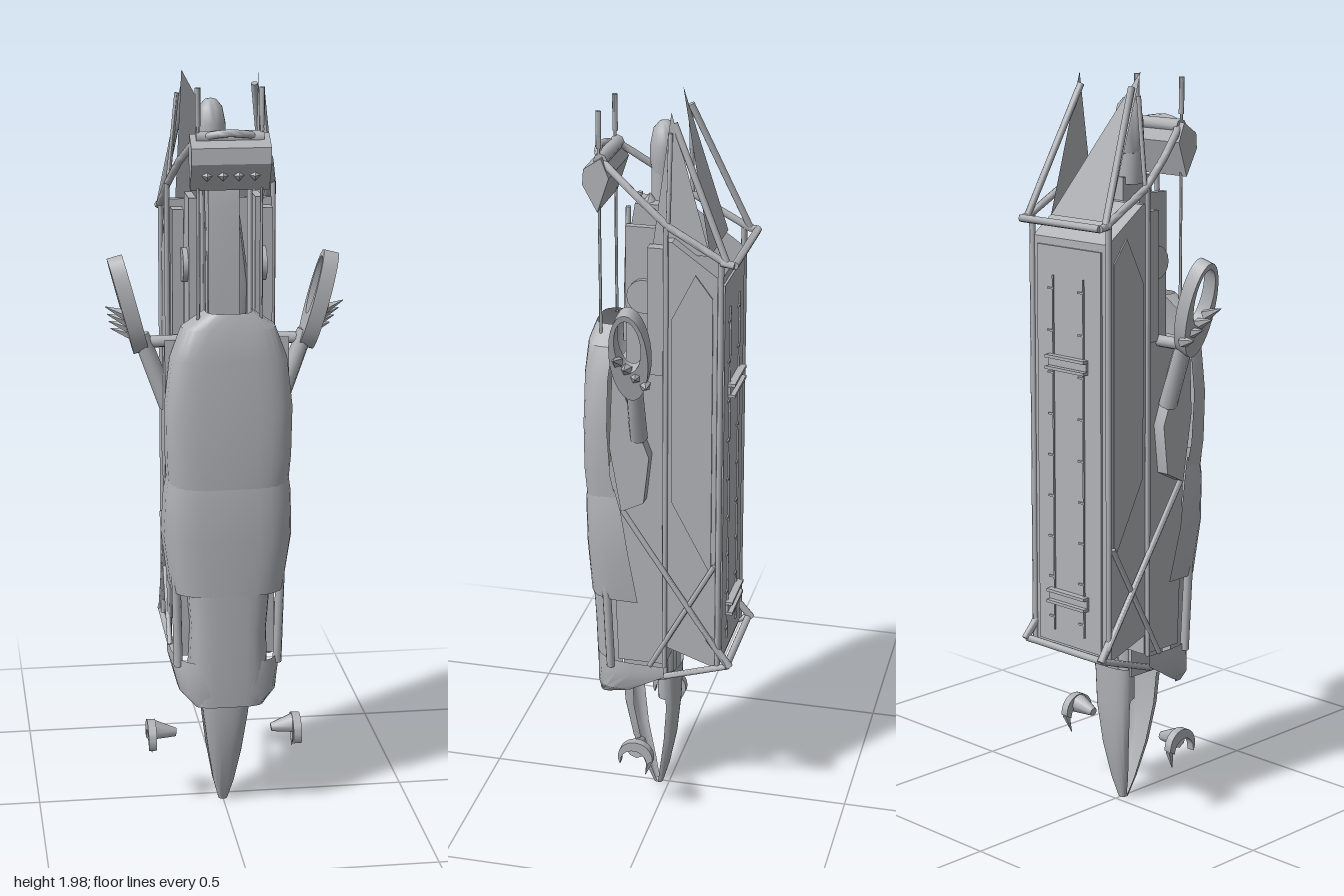
import * as THREE from 'three';
import { toCreasedNormals } from 'three/addons/utils/BufferGeometryUtils.js';

const V = (x, y, z) => new THREE.Vector3(x, y, z);

export function createModel() {
  const model = new THREE.Group();
  const grey = new THREE.MeshStandardMaterial({ color: 0xb0b2b6, side: THREE.DoubleSide });
  grey.name = 'hull grey';

  function add(name, geo, parent = model, crease = 0.5) {
    const mesh = new THREE.Mesh(toCreasedNormals(geo, crease), grey);
    mesh.name = name;
    parent.add(mesh);
    return mesh;
  }
  const box = (name, w, h, d, x, y, z, parent) =>
    add(name, new THREE.BoxGeometry(w, h, d).translate(x, y, z), parent);
  // Straight round bar between two points
  function bar(name, a, b, r, parent, sides = 8, r2 = r) {
    const d = b.clone().sub(a);
    const geo = new THREE.CylinderGeometry(r2, r, d.length(), sides);
    geo.applyQuaternion(new THREE.Quaternion().setFromUnitVectors(V(0, 1, 0), d.clone().normalize()));
    const m = a.clone().add(b).multiplyScalar(0.5);
    return add(name, geo.translate(m.x, m.y, m.z), parent, 0.9);
  }
  // Side profile of [z, y] points, extruded across x
  function prism(name, pts, width, x = 0, parent = model) {
    const shape = new THREE.Shape(pts.map(p => new THREE.Vector2(p[0], p[1])));
    const geo = new THREE.ExtrudeGeometry(shape, { depth: width, bevelEnabled: false });
    return add(name, geo.translate(0, 0, -width / 2).rotateY(-Math.PI / 2).translate(x, 0, 0), parent);
  }
  // Open curved shell from rows of [y, half width, crown z, edge z]
  function shell(name, rows, power = 0.55, n = 14) {
    const pos = [], idx = [];
    rows.forEach(([y, w, crown, edge], r) => {
      for (let i = 0; i <= n; i++) {
        const a = Math.PI * i / n, c = Math.cos(a), s = Math.max(0, Math.sin(a));
        pos.push(Math.sign(c) * Math.abs(c) ** power * w, y, edge + (crown - edge) * s ** power);
        if (r && i) {
          const k = r * (n + 1) + i, q = k - n - 1;
          idx.push(k, k - 1, q - 1, k, q - 1, q);
        }
      }
    });
    const geo = new THREE.BufferGeometry();
    geo.setAttribute('position', new THREE.Float32BufferAttribute(pos, 3));
    geo.setIndex(idx);
    return add(name, geo, model, 0.6);
  }
  function triangle(name, a, b, c) {
    return add(name, new THREE.BufferGeometry().setFromPoints([a, b, c]));
  }

  // Front fairing in two overlapping sections
  shell('upperFairing', [[1.4, 0.06, 0.185, 0.12], [1.36, 0.12, 0.198, 0.12], [1.28, 0.15, 0.204, 0.125],
    [1.15, 0.165, 0.207, 0.125], [1.02, 0.163, 0.208, 0.118], [0.93, 0.157, 0.203, 0.1]]);
  shell('lowerFairing', [[0.98, 0.155, 0.2, 0.11], [0.92, 0.165, 0.206, 0.09], [0.8, 0.17, 0.204, 0.07],
    [0.65, 0.15, 0.197, 0.05]]);
  shell('nosePanel', [[0.68, 0.11, 0.198, 0.12], [0.55, 0.1, 0.192, 0.12], [0.42, 0.105, 0.188, 0.1],
    [0.335, 0.09, 0.182, 0.14]]);
  shell('noseSkirt', [[0.46, 0.145, 0.185, -0.02], [0.43, 0.146, 0.186, -0.02], [0.37, 0.13, 0.184, 0.08],
    [0.335, 0.09, 0.178, 0.15]]);

  // Inner hull and rear container
  prism('innerHull', [[-0.02, 0.46], [-0.02, 1.3], [0.12, 1.3], [0.13, 1.0], [0.11, 0.46]], 0.25);
  prism('container', [[-0.165, 0.47], [-0.165, 1.57], [-0.04, 1.66], [-0.02, 1.66], [-0.02, 0.52]], 0.27);
  box('containerBackPanel', 0.23, 1.06, 0.008, 0, 1.02, -0.167);
  for (const y of [0.62, 1.25]) {
    for (const dy of [-0.015, 0.015]) box('rearHandle', 0.14, 0.008, 0.02, 0, y + dy, -0.18);
    box('rearHandleFace', 0.14, 0.02, 0.008, 0, y, -0.174);
  }
  for (const x of [-0.055, 0.055]) {
    box('rearRail', 0.004, 0.95, 0.006, x, 1.0, -0.172);
    for (let i = 0; i < 9; i++) box('railTick', 0.02, 0.005, 0.006, x + 0.01, 0.56 + i * 0.11, -0.172);
  }

  // Tail: two hollow blades meeting in a point
  shell('tailFrontBlade', [[0.37, 0.07, 0.125, 0.085], [0.28, 0.06, 0.12, 0.085], [0.17, 0.045, 0.1, 0.07],
    [0.07, 0.028, 0.066, 0.045], [0.01, 0.012, 0.042, 0.03]], 0.8);
  shell('tailRearBlade', [[0.4, 0.065, -0.035, 0.0], [0.28, 0.058, -0.03, -0.005], [0.17, 0.045, -0.02, 0.005],
    [0.07, 0.028, 0.0, 0.02], [0.01, 0.012, 0.018, 0.03]], 0.8);
  for (const x of [-0.04, 0, 0.04]) bar('tailPipe', V(x, 0.47, 0), V(x, 0.31, 0), 0.022);
  box('tailMount', 0.14, 0.08, 0.12, 0, 0.42, 0.05);

  // Cockpit pack, spine and domed head
  prism('cockpitSpine', [[-0.02, 1.3], [-0.02, 1.72], [0.08, 1.72], [0.09, 1.66], [0.09, 1.3]], 0.08, -0.005);
  const pack = [[0.0, 1.28], [0.06, 1.3], [0.065, 1.45], [0.045, 1.6], [0.025, 1.72], [0, 1.74]];
  add('cockpitPack', new THREE.LatheGeometry(pack.map(p => new THREE.Vector2(...p)), 12).scale(1, 1, 0.6)
    .translate(0, 0, 0.05));
  bar('headNeck', V(-0.03, 1.7, 0.02), V(-0.03, 1.8, 0.02), 0.033, model, 14);
  const dome = [[0, 1.77], [0.032, 1.78], [0.039, 1.82], [0.038, 1.86], [0.03, 1.9], [0.015, 1.918], [0, 1.922]];
  add('headDome', new THREE.LatheGeometry(dome.map(p => new THREE.Vector2(...p)), 20)
    .translate(-0.03, 0, 0.017), model, 0.8);

  // Instrument box with padded top and knobs
  prism('instrumentBox', [[0.16, 1.71], [0.198, 1.78], [0.195, 1.82], [0.15, 1.85], [0.13, 1.8]], 0.2);
  bar('instrumentPad', V(-0.085, 1.84, 0.155), V(0.085, 1.84, 0.155), 0.018);
  for (let i = 0; i < 4; i++)
    add('knob', new THREE.OctahedronGeometry(0.014).translate(-0.06 + i * 0.04, 1.75, 0.182));

  // Slanted top flaps
  triangle('rearFlap', V(-0.105, 1.62, -0.13), V(0.105, 1.62, -0.13), V(-0.1, 1.99, -0.012));
  triangle('sideFlap', V(0.105, 1.62, -0.13), V(0.1, 1.62, 0.02), V(0.1, 1.98, -0.03));

  // Tube cage: top hoop, bottom hoop and cross bars
  const hoop = new THREE.CurvePath();
  const half = [V(0.14, 1.62, -0.175), V(0.135, 1.7, -0.03), V(0.115, 1.77, 0.06), V(0.085, 1.83, 0.14),
    V(0.045, 1.85, 0.172)];
  const path = [...half, V(0, 1.855, 0.18), ...half.map(p => V(-p.x, p.y, p.z)).reverse()];
  for (let i = 1; i < path.length; i++) hoop.add(new THREE.LineCurve3(path[i - 1], path[i]));
  add('topHoop', new THREE.TubeGeometry(hoop, 60, 0.01, 8), model, 0.9);
  bar('topRearBar', V(-0.142, 1.615, -0.2), V(0.142, 1.615, -0.2), 0.01);
  bar('lowerRearBar', V(-0.142, 0.485, -0.19), V(0.142, 0.485, -0.19), 0.01);

  for (const s of [1, -1]) {
    const side = new THREE.Group();
    side.name = s > 0 ? 'leftSide' : 'rightSide';
    side.scale.x = s;
    model.add(side);

    // Side cage tubes
    bar('cageCorner', V(0.142, 1.615, -0.2), V(0.14, 1.62, -0.165), 0.01, side);
    bar('cageUpright', V(0.138, 0.485, -0.165), V(0.138, 1.62, -0.165), 0.008, side);
    bar('cageInnerUpright', V(0.138, 0.46, -0.02), V(0.138, 1.7, -0.025), 0.007, side);
    bar('cageLowerArm', V(0.142, 0.485, -0.2), V(0.135, 0.56, -0.14), 0.01, side);
    bar('cageBottomTube', V(0.142, 0.485, -0.19), V(0.13, 0.42, 0.0), 0.009, side);
    bar('cageBrace', V(0.15, 0.92, 0.09), V(0.142, 0.49, -0.19), 0.008, side);
    bar('cageCrossBrace', V(0.142, 0.46, 0.02), V(0.142, 0.78, -0.155), 0.007, side);
    bar('topSpar', V(0.14, 1.62, -0.18), V(0.09, 1.95, -0.035), 0.009, side);
    bar('topFrontSpar', V(0.135, 1.69, -0.03), V(0.11, 1.93, -0.03), 0.006, side);
    bar('antenna', V(0.08, 1.38, 0.16), V(0.08, 1.88, 0.16), 0.004, side);
    bar('antennaTip', V(0.08, 1.87, 0.16), V(0.08, 1.965, 0.16), 0.007, side);

    // Container side plate
    prism('containerSidePlate', [[-0.145, 0.75], [-0.145, 1.52], [-0.1, 1.58], [-0.04, 1.46], [-0.04, 0.95]],
      0.006, 0.136, side);
    // Cockpit pillars and panels
    box('cockpitPillar', 0.02, 0.38, 0.1, 0.085, 1.49, 0.04, side);
    box('cockpitSidePanel', 0.03, 0.34, 0.05, 0.115, 1.47, 0, side);
    bar('cockpitPost', V(0.06, 1.36, 0.1), V(0.06, 1.72, 0.09), 0.007, side);
    bar('cockpitRoller', V(0.085, 1.5, 0.04), V(0.108, 1.5, 0.04), 0.045, side, 16);
    // Lower side rails beside the nose
    bar('noseRail', V(0.132, 0.44, 0.13), V(0.138, 0.72, 0.14), 0.012, side);

    // Shoulder pod and arm
    prism('shoulderPod', [[0.03, 0.95], [0.015, 1.08], [0.045, 1.16], [0.075, 1.24], [0.11, 1.32], [0.12, 1.1],
      [0.09, 0.92]], 0.045, 0.138, side);
    bar('armStrut', V(0.145, 1.13, 0.045), V(0.215, 1.32, 0.04), 0.024, side, 8, 0.022);
    bar('armAxle', V(0.09, 1.3, 0.035), V(0.21, 1.3, 0.035), 0.016, side);

    // Looped hand with spurs
    const hand = new THREE.Group();
    hand.name = 'loopHand';
    hand.position.set(0.247, 1.4, 0.04);
    hand.rotation.z = -0.26;
    side.add(hand);
    const ring = new THREE.Shape().absellipse(0, 0, 0.05, 0.13, 0, Math.PI * 2);
    ring.holes.push(new THREE.Path().absellipse(0, 0.035, 0.034, 0.078, 0, Math.PI * 2));
    add('handLoop', new THREE.ExtrudeGeometry(ring, { depth: 0.04, bevelEnabled: false, curveSegments: 14 })
      .translate(0, 0, -0.02).rotateY(-Math.PI / 2), hand, 0.7);
    for (let i = 0; i < 4; i++)
      bar('handSpur', V(0.01, -0.085 + i * 0.022, -0.035 + i * 0.022), V(0.058, -0.06 + i * 0.026, -0.05 + i * 0.026),
        0.016, hand, 5, 0.001);

    // Small detached foot claw
    const arch = new THREE.Shape();
    arch.absarc(0.045, 0.205, 0.048, -0.5, Math.PI + 0.1, false);
    arch.absarc(0.05, 0.19, 0.036, Math.PI, 0, true);
    add('clawArch', new THREE.ExtrudeGeometry(arch, { depth: 0.022, bevelEnabled: false })
      .rotateY(-Math.PI / 2).translate(0.208, 0, 0), side);
    bar('clawStub', V(0.13, 0.215, 0.045), V(0.19, 0.225, 0.045), 0.012, side, 8, 0.028);
    bar('clawSpike', V(0.197, 0.2, 0.005), V(0.192, 0.148, 0.02), 0.011, side, 5, 0.001);
  }
  return model;
}
